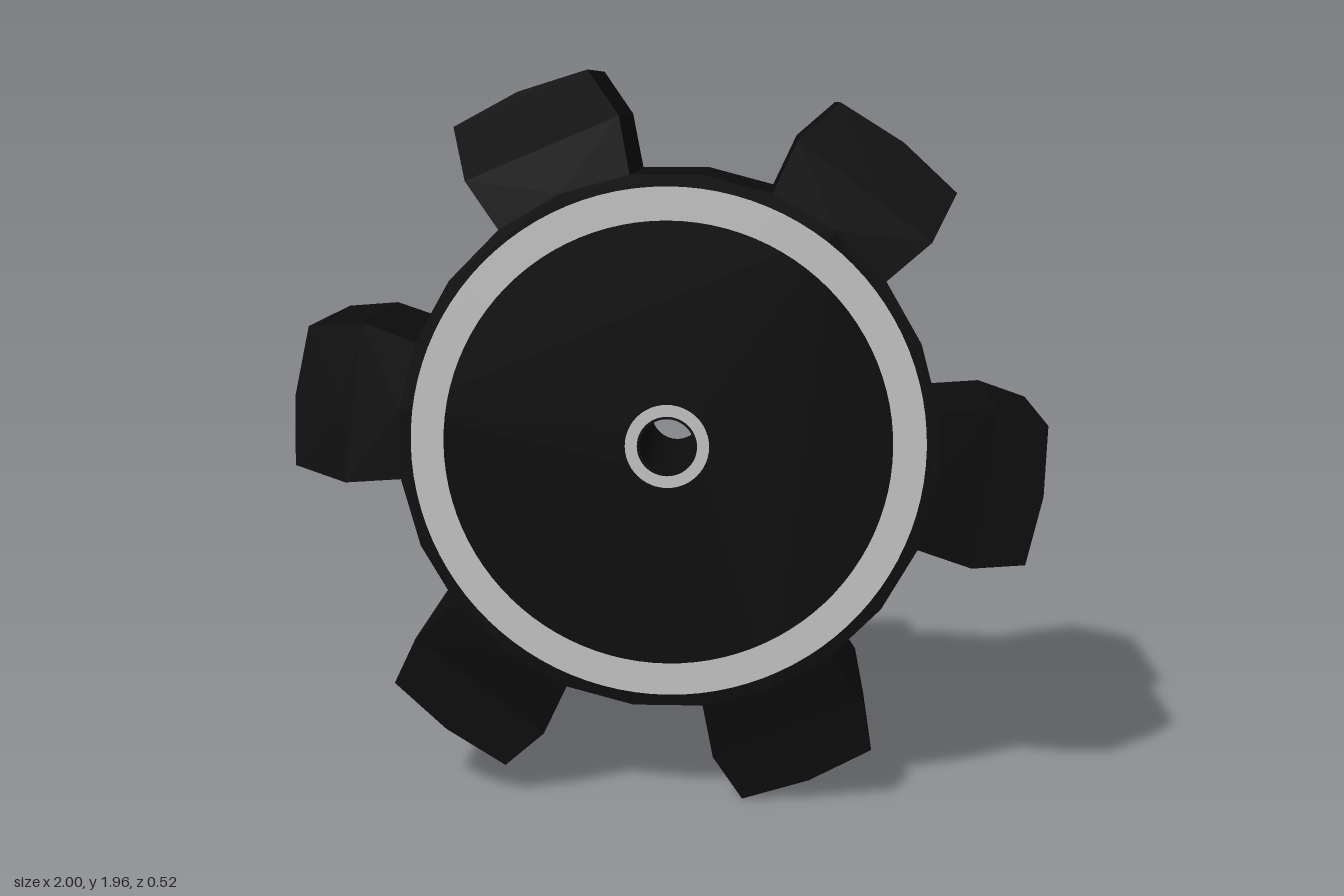
import * as THREE from 'three';

const TEETH = 6;
const CENTRE_Y = 0.981;
const OFFSET = -7.3;       // angle of the first tooth in degrees
const ROOT_R = 0.72, SHOULDER_R = 0.873, TIP_R = 1.002;
const BODY_Z = 0.256, TOOTH_Z = 0.245;

const polar = (r, deg) => {
  const a = THREE.MathUtils.degToRad(deg);
  return new THREE.Vector2(r * Math.cos(a), r * Math.sin(a));
};

// Extrude an outline symmetrically about z = 0
function slab(shape, half) {
  const g = new THREE.ExtrudeGeometry(shape, { depth: 2 * half, bevelEnabled: false, curveSegments: 48 });
  g.translate(0, 0, -half);
  return g;
}

// Outline between two arcs of three points each
function band(r0, a0, r1, a1) {
  return new THREE.Shape([
    polar(r0, -a0), polar(r1, -a1), polar(r1, 0), polar(r1, a1), polar(r0, a0), polar(r0, 0),
  ]);
}

export function createModel() {
  const black = new THREE.MeshStandardMaterial({ color: 0x0c0c0c });
  black.name = 'black';
  const silver = new THREE.MeshStandardMaterial({ color: 0xc8c8c8 });
  silver.name = 'silver';

  const model = new THREE.Group();
  model.name = 'gear';
  const add = (name, geometry, material, parent) => {
    const mesh = new THREE.Mesh(geometry, material);
    mesh.name = name;
    parent.add(mesh);
    return mesh;
  };

  const wheel = new THREE.Group();
  wheel.name = 'wheel';
  wheel.position.y = CENTRE_Y;
  model.add(wheel);

  // 24-sided body with a round axle hole
  const outline = [];
  for (let i = 0; i < 24; i++) outline.push(polar(ROOT_R, OFFSET + i * 15));
  const bodyShape = new THREE.Shape(outline);
  bodyShape.holes.push(new THREE.Path().absarc(0, 0, 0.073, 0, Math.PI * 2, true));
  add('body', slab(bodyShape, BODY_Z), black, wheel);

  // Tooth root, thinning from the body towards the shoulder
  const rootGeo = slab(band(ROOT_R, 15, SHOULDER_R, 14.5), BODY_Z);
  const p = rootGeo.attributes.position;
  for (let i = 0; i < p.count; i++) {
    if (Math.hypot(p.getX(i), p.getY(i)) > 0.8) p.setZ(i, Math.sign(p.getZ(i)) * TOOTH_Z);
  }
  rootGeo.computeVertexNormals();
  const tipGeo = slab(band(SHOULDER_R, 14.5, TIP_R, 10.9), TOOTH_Z);

  for (let i = 0; i < TEETH; i++) {
    const tooth = new THREE.Group();
    tooth.name = 'tooth' + (i + 1);
    tooth.rotation.z = THREE.MathUtils.degToRad(OFFSET + i * 360 / TEETH);
    add('toothRoot', rootGeo, black, tooth);
    add('toothTip', tipGeo, black, tooth);
    wheel.add(tooth);
  }

  // Flat silver rings on both faces
  const rimGeo = new THREE.RingGeometry(0.596, 0.684, 96);
  const hubGeo = new THREE.RingGeometry(0.08, 0.112, 48);
  for (const [side, turn, z] of [['front', 0, 1], ['back', Math.PI, -1]]) {
    for (const [name, geo] of [['RimRing', rimGeo], ['HubRing', hubGeo]]) {
      const ring = add(side + name, geo, silver, wheel);
      ring.rotation.y = turn;
      ring.position.z = z * (BODY_Z + 0.002);
    }
  }
  return model;
}
